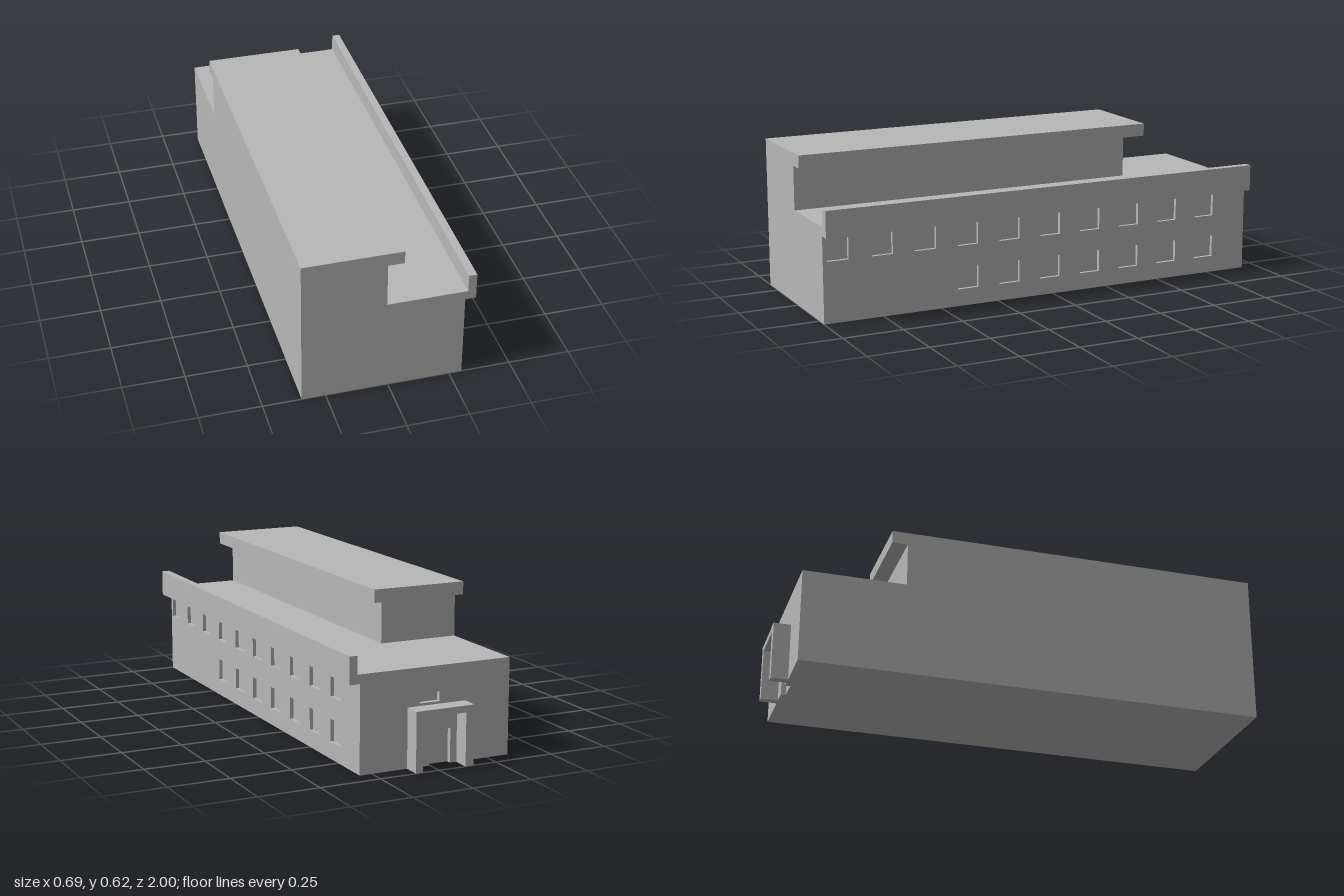
import * as THREE from 'three';

export function createModel() {
  const group = new THREE.Group();
  const grey = new THREE.MeshStandardMaterial({ color: 0xb8b8b8 });

  const add = (name, geometry) => {
    const mesh = new THREE.Mesh(geometry, grey);
    mesh.name = name;
    group.add(mesh);
    return mesh;
  };
  // Box from its lower and upper limits on each axis
  const box = (name, x0, x1, y0, y1, z0, z1) =>
    add(name, new THREE.BoxGeometry(x1 - x0, y1 - y0, z1 - z0)
      .translate((x0 + x1) / 2, (y0 + y1) / 2, (z0 + z1) / 2));
  const hole = (x0, x1, y0, y1) => new THREE.Path([
    [x0, y0], [x0, y1], [x1, y1], [x1, y0],
  ].map(([x, y]) => new THREE.Vector2(x, y)));
  const outline = (points) => new THREE.Shape(points.map(([x, y]) => new THREE.Vector2(x, y)));
  const extrude = (shape, depth) => new THREE.ExtrudeGeometry(shape, { depth, bevelEnabled: false });

  const left = -0.345, right = 0.302, back = -0.93, front = 1;
  const roof = 0.39, sideDepth = 0.015, backDepth = 0.02;

  // Solid core behind the pierced facades; it closes the window and door recesses
  box('mainBlock', left, right - sideDepth, 0, roof, back + backDepth, front);

  // Long facade with ten upper and seven lower window recesses
  const side = outline([[-front, 0], [-back - backDepth, 0], [-back - backDepth, roof], [-front, roof]]);
  for (let i = 0; i < 10; i++) {
    const s = -0.938 + i * 0.185;
    side.holes.push(hole(s - 0.045, s + 0.045, 0.25, 0.34));
    if (i >= 3) side.holes.push(hole(s - 0.045, s + 0.045, 0.07, 0.16));
  }
  add('windowFacade', extrude(side, sideDepth).rotateY(Math.PI / 2).translate(right - sideDepth, 0, 0));

  // Back facade with the door notch and a small window above it
  const rear = outline([
    [-right, 0], [-0.005, 0], [-0.005, 0.138], [0.087, 0.138], [0.087, 0],
    [-left, 0], [-left, roof], [-right, roof],
  ]);
  rear.holes.push(hole(-0.047, 0.037, 0.25, 0.288));
  add('entranceFacade', extrude(rear, backDepth).rotateY(Math.PI).translate(0, 0, back + backDepth));

  // Entrance portal
  const portal = outline([
    [-0.1, 0], [-0.07, 0], [-0.07, 0.213], [0.115, 0.213],
    [0.115, 0], [0.15, 0], [0.15, 0.24], [-0.1, 0.24],
  ]);
  add('entrancePortal', extrude(portal, 0.07).rotateY(Math.PI).translate(0, 0, back));

  // Overhanging parapet along the long facade
  const parapet = outline([
    [right, 0.353], [0.345, 0.353], [0.345, 0.462], [0.312, 0.462], [0.312, roof], [right, roof],
  ]);
  add('parapet', extrude(parapet, front - back).translate(0, 0, back));

  // Set-back upper storey and its overhanging roof
  box('upperStorey', left, -0.01, roof, 0.572, -0.505, front);
  box('upperRoof', left, 0.055, 0.572, 0.625, -0.57, front);

  return group;
}
